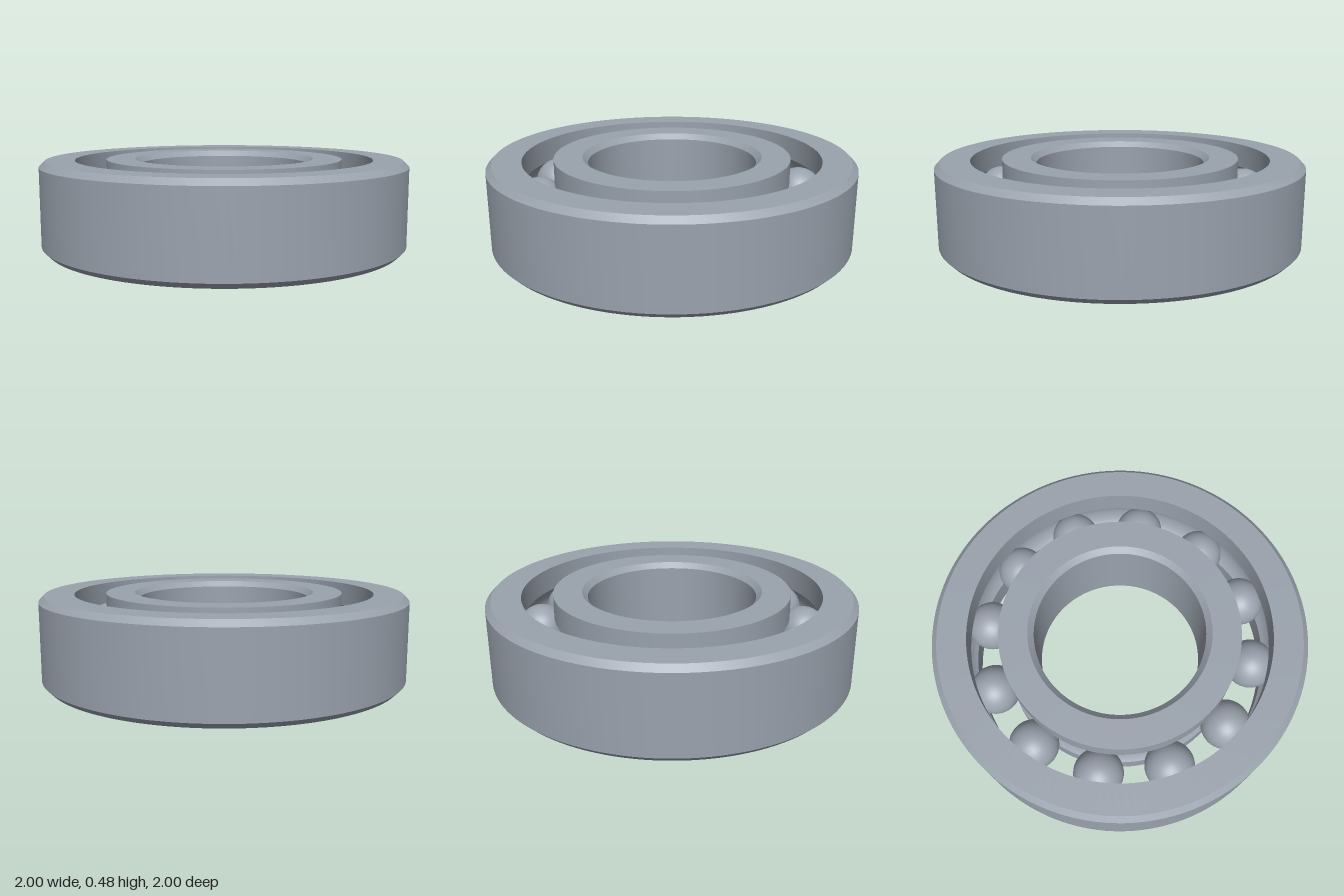
import * as THREE from 'three';
import { toCreasedNormals } from 'three/addons/utils/BufferGeometryUtils.js';

const HEIGHT = 0.48, MID = HEIGHT / 2, CHAMFER = 0.03;
const BORE_R = 0.46, INNER_LAND = 0.645, OUTER_LAND = 0.813;
const PITCH_R = (INNER_LAND + OUTER_LAND) / 2, BALL_R = 0.134, BALLS = 12;

export function createModel() {
  const steel = new THREE.MeshStandardMaterial({ color: 0x9aa2ad });
  steel.name = 'steel';
  const group = new THREE.Group();
  group.name = 'ballBearing';

  // Arc of the ball groove in the (radius, height) plane
  const half = Math.acos((OUTER_LAND - PITCH_R) / BALL_R);
  const groove = (centre) => Array.from({ length: 15 }, (_, i) => {
    const a = centre - half + (2 * half * i) / 14;
    return [PITCH_R + BALL_R * Math.cos(a), MID + BALL_R * Math.sin(a)];
  });

  // Closed counter-clockwise section turned around the axis
  const addRing = (name, section) => {
    const points = [...section, section[0]].map(([r, y]) => new THREE.Vector2(r, y));
    const ring = new THREE.Mesh(toCreasedNormals(new THREE.LatheGeometry(points, 128), 0.5), steel);
    ring.name = name;
    group.add(ring);
  };

  // Outer ring: chamfered outside, groove on the inner face
  addRing('outerRing', [
    [OUTER_LAND, 0], [1 - CHAMFER, 0], [1, CHAMFER],
    [1, HEIGHT - CHAMFER], [1 - CHAMFER, HEIGHT], [OUTER_LAND, HEIGHT],
    ...groove(0).reverse(),
  ]);

  // Inner ring: chamfered bore, groove on the outer face
  addRing('innerRing', [
    [BORE_R + CHAMFER, 0], [INNER_LAND, 0],
    ...groove(Math.PI).reverse(),
    [INNER_LAND, HEIGHT], [BORE_R + CHAMFER, HEIGHT],
    [BORE_R, HEIGHT - CHAMFER], [BORE_R, CHAMFER],
  ]);

  // Balls spaced evenly in the groove
  const ballGeometry = new THREE.SphereGeometry(BALL_R, 40, 24);
  for (let i = 0; i < BALLS; i++) {
    const a = THREE.MathUtils.degToRad(12) + (i * Math.PI * 2) / BALLS;
    const ball = new THREE.Mesh(ballGeometry, steel);
    ball.name = `ball${i + 1}`;
    ball.position.set(PITCH_R * Math.cos(a), MID, PITCH_R * Math.sin(a));
    group.add(ball);
  }
  return group;
}
